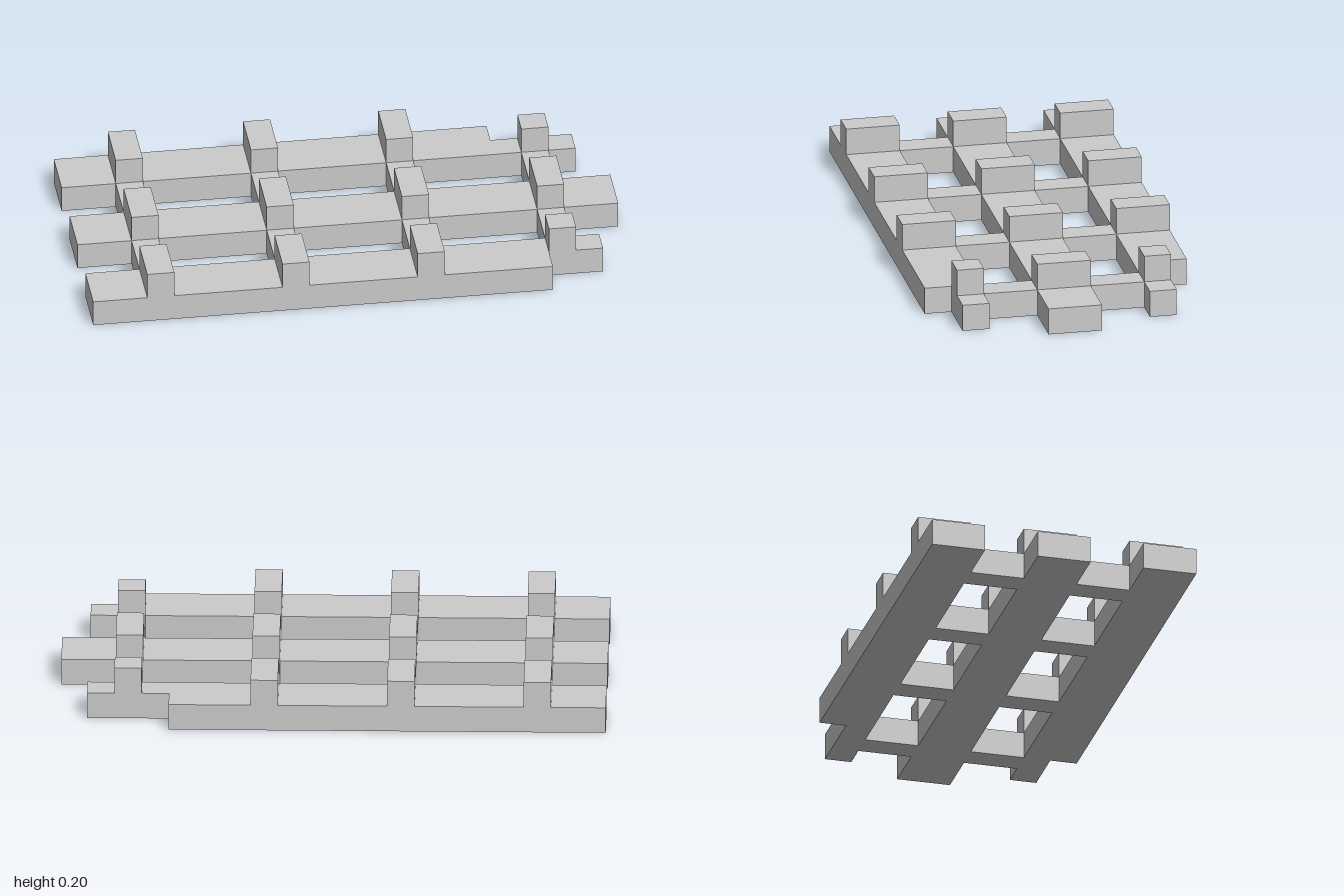
import * as THREE from 'three';

const T = 0.1; // thickness of planks, cross bars and cleats
const material = new THREE.MeshStandardMaterial({ color: 0xcccccc, flatShading: true });

// Box given by its x, y and z ranges
function block(name, [x0, x1], [y0, y1], [z0, z1]) {
  const mesh = new THREE.Mesh(new THREE.BoxGeometry(x1 - x0, y1 - y0, z1 - z0), material);
  mesh.position.set((x0 + x1) / 2, (y0 + y1) / 2, (z0 + z1) / 2);
  mesh.name = name;
  return mesh;
}

// Flat plank cut from an outline of [x, z] points
function plank(name, outline) {
  const shape = new THREE.Shape(outline.map(([x, z]) => new THREE.Vector2(x, z)));
  const geometry = new THREE.ExtrudeGeometry(shape, { depth: T, bevelEnabled: false });
  geometry.rotateX(Math.PI / 2).translate(0, T, 0);
  const mesh = new THREE.Mesh(geometry, material);
  mesh.name = name;
  return mesh;
}

// Side plank with its outer corner broken off from x = notch; side is +1 front, -1 back
function sidePlank(name, side, notch) {
  return plank(name, [
    [-1, 0.3], [0.9, 0.3], [0.9, 0.4], [notch, 0.4], [notch, 0.5], [-1, 0.5],
  ].map(([x, z]) => [x, z * side]));
}

export function createModel() {
  const model = new THREE.Group();
  model.name = 'brokenPlankFrame';

  // Three long planks
  model.add(
    sidePlank('frontPlank', 1, 0.7),
    plank('middlePlank', [[-1, -0.1], [1, -0.1], [1, 0.1], [-1, 0.1]]),
    sidePlank('backPlank', -1, 0.6),
  );

  // Cross bars in the gaps, with raised cleats on top of the planks
  [-0.8, -0.3, 0.2, 0.7].forEach((x, i) => {
    const xs = [x, x + 0.1];
    const outer = i === 3 ? 0.4 : 0.5; // last cleats stop at the broken corners
    model.add(
      block('frontCrossBar', xs, [0, T], [0.1, 0.3]),
      block('backCrossBar', xs, [0, T], [-0.3, -0.1]),
      block('frontCleat', xs, [T, 2 * T], [0.3, outer]),
      block('middleCleat', xs, [T, 2 * T], [-0.1, 0.1]),
      block('backCleat', xs, [T, 2 * T], [-outer, -0.3]),
    );
  });

  return model;
}
